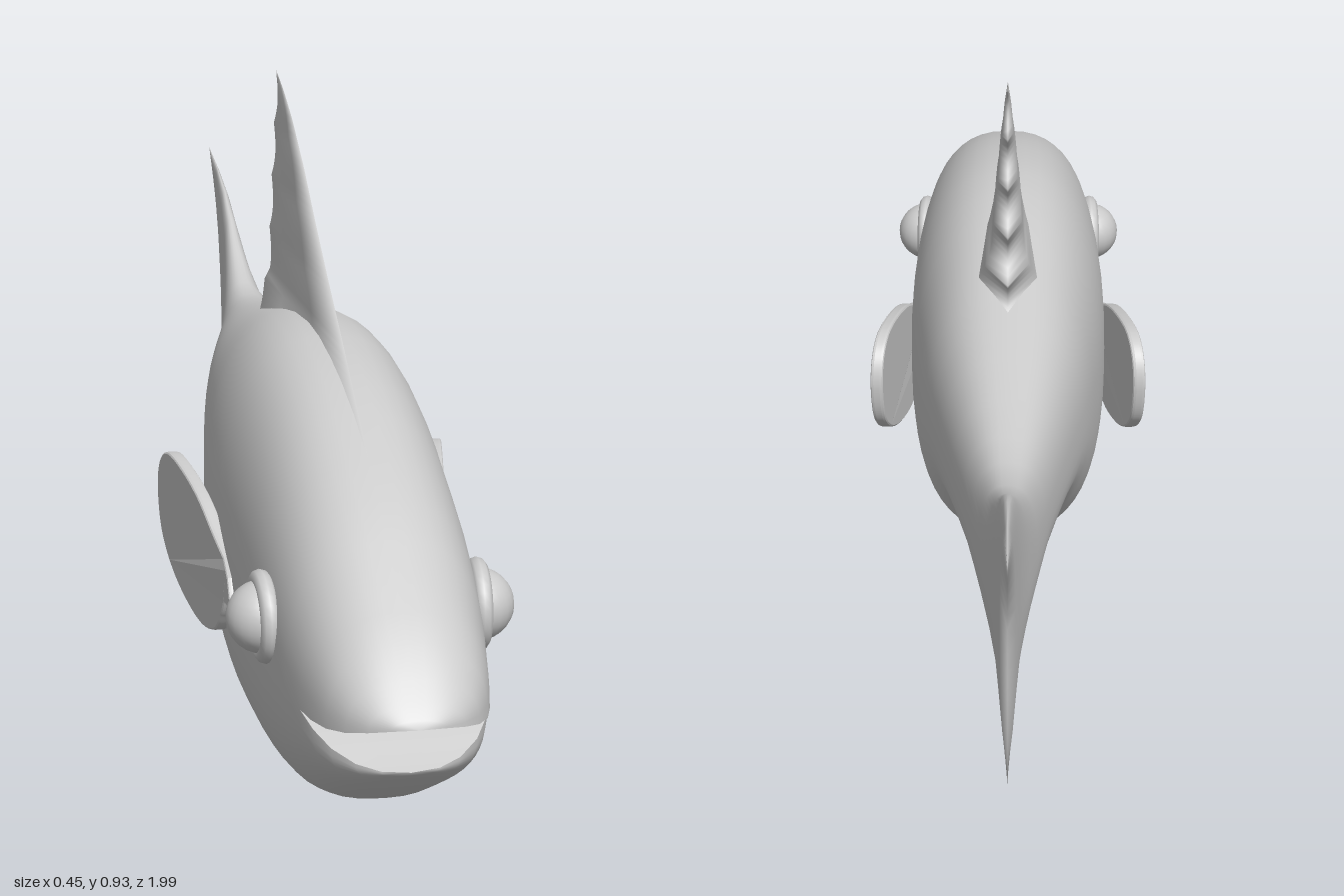
import * as THREE from 'three';
import { mergeVertices, mergeGeometries } from 'three/addons/utils/BufferGeometryUtils.js';

const material = new THREE.MeshStandardMaterial({ color: 0xcccccc });

// Skin a list of equally long point rows
function skin(rows) {
  const n = rows[0].length, index = [];
  for (let i = 0; i < rows.length - 1; i++)
    for (let k = 0; k < n - 1; k++) {
      const a = i * n + k, b = a + n;
      index.push(a, b, a + 1, b, b + 1, a + 1);
    }
  const g = new THREE.BufferGeometry();
  g.setAttribute('position', new THREE.Float32BufferAttribute(rows.flat(2), 3));
  g.setIndex(index);
  return g;
}

// Weld points so that normals run smoothly across seams
function smooth(g) {
  const welded = mergeVertices(g, 1e-4);
  welded.computeVertexNormals();
  return welded;
}

function addMesh(parent, name, geometry) {
  const mesh = new THREE.Mesh(geometry, material);
  mesh.name = name;
  parent.add(mesh);
}

// Jaws, front to back: z, lip height, outer height, half width
const upperJaw = [
  [1, .31, .31, 0], [.994, .308, .32, .035], [.98, .302, .335, .062],
  [.955, .293, .36, .086], [.92, .285, .391, .105], [.88, .28, .419, .117]];
const lowerJaw = [
  [.95, .23, .23, 0], [.945, .232, .224, .038], [.93, .238, .211, .068],
  [.905, .25, .192, .095], [.875, .264, .171, .113]];

// Body stations: z, centre height, half width, top, bottom
const body = [
  [.84, .278, .125, .443, .15], [.78, .285, .135, .482, .115], [.72, .29, .142, .515, .087],
  [.65, .295, .148, .546, .059], [.55, .3, .153, .583, .03], [.47, .305, .157, .606, .016],
  [.4, .31, .16, .62, .008], [.32, .312, .162, .631, .003], [.25, .314, .162, .634, .011],
  [.17, .318, .159, .629, .027], [.1, .322, .153, .617, .05], [.04, .328, .146, .604, .08],
  [-.03, .345, .137, .587, .138], [-.09, .36, .128, .572, .187], [-.15, .37, .117, .557, .223],
  [-.23, .378, .101, .537, .25], [-.32, .382, .082, .515, .265], [-.4, .383, .065, .499, .272]];

// Tail stations: centre z, y, half width, then top z, y and bottom z, y
const tail = [
  [-.45, .38, .055, -.46, .491, -.44, .26], [-.51, .375, .043, -.53, .494, -.49, .245],
  [-.57, .375, .031, -.61, .527, -.55, .228], [-.63, .38, .021, -.69, .572, -.61, .213],
  [-.69, .385, .016, -.77, .606, -.665, .199], [-.75, .39, .011, -.87, .628, -.72, .185],
  [-.815, .4, 0, -.99, .645, -.78, .165]];

// Upper (side 1) or lower (side -1) half of the whole fish, nose to tail
function halfShell(side) {
  const jaw = (side > 0 ? upperJaw : lowerJaw).map(([z, lip, y, w]) => [z, lip, w, z, y]);
  const trunk = body.map(([z, c, w, top, bottom]) => [z, c, w, z, side > 0 ? top : bottom]);
  const fan = tail.map(([z, c, w, zt, yt, zb, yb]) => side > 0 ? [z, c, w, zt, yt] : [z, c, w, zb, yb]);
  const K = 24;
  return skin([...jaw, ...trunk, ...fan].map(([z, c, w, zEnd, yEnd]) =>
    Array.from({ length: K + 1 }, (_, k) => {
      const a = Math.PI * k / K, cos = Math.cos(a) * side;
      const f = Math.pow(Math.max(0, Math.sin(a)), .83);
      const x = w * Math.sign(cos) * Math.pow(Math.abs(cos), .83);
      return [x, c + (yEnd - c) * f, z + (zEnd - z) * Math.pow(f, 1.7)];
    })));
}

// Flat mouth lining between the two lip edges of a jaw
function lining(jaw, side) {
  const [z, c, w, top] = body[0];
  return smooth(skin([...jaw, [z, c, top, w]].map(([z, lip, , w]) =>
    [1, .5, 0, -.5, -1].map(u => [u * w * side, lip, z]))));
}

// Dorsal fin: horizontal slices that thin toward the tip, scalloped behind
function dorsalFin() {
  const front = [[.54, .66], [.6, .55], [.66, .44], [.717, .326], [.78, .21], [.834, .118],
    [.888, .005], [.915, -.07], [.937, -.155]];
  const frontAt = y => {
    const i = Math.max(1, front.findIndex(p => p[0] >= y - 1e-6));
    const [y0, z0] = front[i - 1], [y1, z1] = front[i];
    return z0 + (z1 - z0) * (y - y0) / (y1 - y0);
  };
  const N = 40, rows = [];
  for (let i = 0; i <= N; i++) {
    const t = i / N, y = .54 + .397 * t;
    const scallop = Math.abs(Math.sin(Math.PI * t * 5));
    const zf = frontAt(y);
    const zb = -.147 - .008 * t + .03 * scallop;
    const w = .042 * Math.pow(1 - t, .9) + .03 * Math.max(0, 1 - t * 4);
    const at = (u, s) => [s * w, y, zf + (zb - zf) * u];
    rows.push([at(0, 0), at(.35, -.4), at(.65, -.75), at(.88, -.8), at(1, 0),
      at(.88, .8), at(.65, .75), at(.35, .4), at(0, 0)]);
  }
  return smooth(skin(rows));
}

// Side fin: a thin rounded paddle that flares outward toward the back
function sideFin(side) {
  const outline = new THREE.Shape();
  outline.moveTo(.47, .275);
  outline.lineTo(.4, .262);
  outline.splineThru([[.385, .235], [.35, .2], [.275, .187], [.17, .212], [.1, .26], [.078, .325],
    [.09, .375], [.13, .4], [.2, .397], [.28, .378], [.36, .342], [.44, .31]]
    .map(p => new THREE.Vector2(...p)));
  outline.closePath();
  const g = new THREE.ExtrudeGeometry(outline, {
    depth: .01, curveSegments: 40, bevelSize: .003, bevelThickness: .005, bevelSegments: 2 });
  g.translate(0, 0, -.005);
  g.rotateY(-Math.PI / 2);
  const p = g.attributes.position;
  for (let i = 0; i < p.count; i++)
    p.setX(i, p.getX(i) + side * Math.max(.155, .155 + (.4 - p.getZ(i)) * .18));
  g.computeVertexNormals();
  return g;
}

export function createModel() {
  const fish = new THREE.Group();
  fish.name = 'fish';

  addMesh(fish, 'body', smooth(mergeGeometries([halfShell(1), halfShell(-1)])));
  addMesh(fish, 'mouthRoof', lining(upperJaw, -1));
  addMesh(fish, 'mouthFloor', lining(lowerJaw, 1));
  addMesh(fish, 'dorsalFin', dorsalFin());

  for (const side of [1, -1]) {
    const label = side > 0 ? 'left' : 'right';
    addMesh(fish, label + 'SideFin', sideFin(side));

    // Eyeball set in a round lid
    const eye = new THREE.Group();
    eye.name = label + 'Eye';
    eye.position.set(side * .148, .342, .67);
    eye.rotation.y = side * (Math.PI / 2 - .06);
    addMesh(eye, 'eyeball', new THREE.SphereGeometry(.05, 24, 16));
    addMesh(eye, 'eyelid', new THREE.TorusGeometry(.051, .013, 10, 32));
    fish.add(eye);
  }
  return fish;
}
